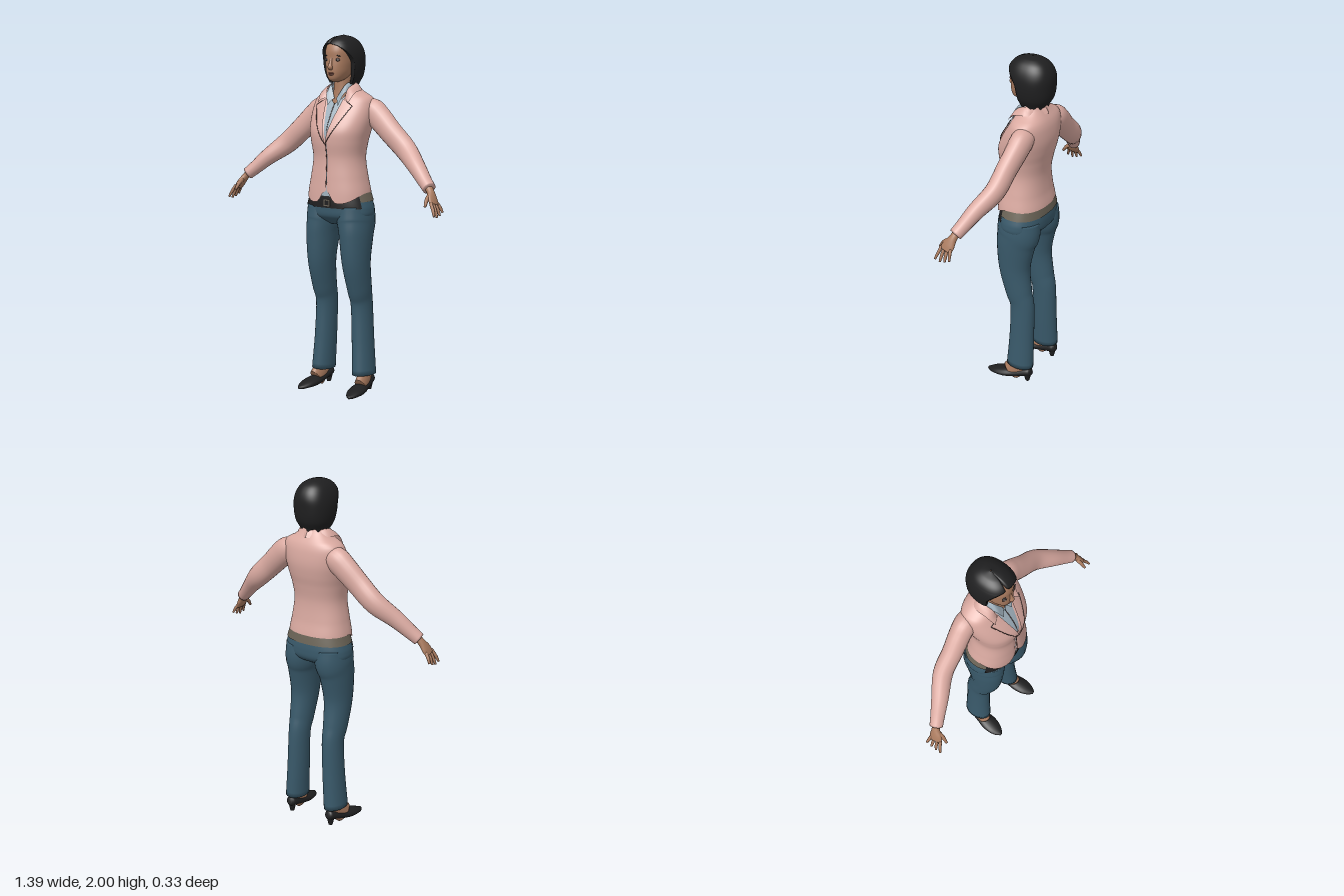
import * as THREE from 'three';

const mat = (name, color, side = THREE.FrontSide) => {
  const m = new THREE.MeshStandardMaterial({ color, side });
  m.name = name;
  return m;
};
const N = 2.3; // roundness of the horizontal cross-sections
const mix = THREE.MathUtils.lerp;
const smooth = THREE.MathUtils.smoothstep;

// Smooth interpolation of rows keyed by their first number
function sample(rows, k) {
  let i = 0;
  while (i < rows.length - 2 && k > rows[i + 1][0]) i++;
  const a = rows[i], b = rows[i + 1], p = rows[i - 1] || a, q = rows[i + 2] || b;
  const h = b[0] - a[0], t = THREE.MathUtils.clamp((k - a[0]) / h, 0, 1);
  return a.map((v, j) => {
    const m0 = (b[j] - p[j]) / (b[0] - p[0]) * h, m1 = (q[j] - v) / (q[0] - a[0]) * h;
    const t2 = t * t, t3 = t2 * t;
    return (2 * t3 - 3 * t2 + 1) * v + (t3 - 2 * t2 + t) * m0 + (3 * t2 - 2 * t3) * b[j] + (t3 - t2) * m1;
  });
}

// Surface from a grid of points; wrap closes it around
function grid(nu, nv, fn, wrap) {
  const pos = [], idx = [], cols = wrap ? nv : nv + 1;
  for (let i = 0; i <= nu; i++) for (let j = 0; j < cols; j++) pos.push(...fn(i / nu, j / nv, i, j));
  for (let i = 0; i < nu; i++) for (let j = 0; j < nv; j++) {
    const a = i * cols + j, b = i * cols + (j + 1) % cols;
    idx.push(a, b, b + cols, a, b + cols, a + cols);
  }
  const g = new THREE.BufferGeometry();
  g.setAttribute('position', new THREE.Float32BufferAttribute(pos, 3));
  g.setIndex(idx);
  g.computeVertexNormals();
  return g;
}

// Limb through rings [x, y, z, radiusU, radiusV], closed at both ends
function loft(rings, hint = [0, 0, 1], nu = 24, nv = 20) {
  const rows = rings.map((r, i) => [i, ...r]), last = rings.length - 1;
  const at = k => new THREE.Vector3(...sample(rows, k).slice(1, 4));
  return grid(nu + 2, nv, (s, t, i) => {
    const k = THREE.MathUtils.clamp((i - 1) / nu, 0, 1) * last;
    const r = sample(rows, k), cap = i === 0 || i === nu + 2 ? 0 : 1;
    const d = at(Math.min(last, k + 0.05)).sub(at(Math.max(0, k - 0.05))).normalize();
    const v = new THREE.Vector3(...hint).addScaledVector(d, -d.dot(new THREE.Vector3(...hint))).normalize();
    const u = v.clone().cross(d), a = t * Math.PI * 2;
    return at(k).addScaledVector(u, Math.cos(a) * r[4] * cap).addScaledVector(v, Math.sin(a) * r[5] * cap).toArray();
  }, true);
}

// Upright body from rows [y, halfWidth, zFront, zBack, zMiddle]; range limits the angle from the front
function shell(rows, { y0 = rows[0][0], y1 = rows.at(-1)[0], range, hem, grow = 0, rim = 1, nu = 40, nv = 48, ease = s => s } = {}) {
  return grid(nu, nv, (s, t, i, j) => {
    const e = ease(s), base = mix(y0, y1, e);
    const [a0, a1] = range ? range(base) : [0, Math.PI * 2];
    const a = mix(a0, a1, t), y = base + (hem ? hem(a) * (1 - e) ** 4 : 0);
    const [, hw, zf, zb, zc] = sample(rows, y);
    const k = range && (j === 0 || j === nv) ? rim : 1;
    const sn = Math.sin(a), cs = Math.cos(a), p = v => Math.sign(v) * Math.abs(v) ** (2 / N);
    return [p(sn) * (hw + grow) * k, y, zc + p(cs) * ((cs > 0 ? zf - zc : zc - zb) + grow) * k];
  }, !range);
}
const frontZ = (rows, x, y, off = 0) => {
  const [, hw, zf, , zc] = sample(rows, y);
  return zc + (zf - zc) * (1 - Math.min(1, Math.abs(x) / hw) ** N) ** (1 / N) + off;
};

const torso = [[1.07, .186, .142, -.142, 0], [1.14, .181, .14, -.138, 0], [1.22, .165, .135, -.125, 0], [1.33, .148, .13, -.12, 0],
  [1.42, .16, .142, -.135, 0], [1.48, .173, .14, -.15, -.01], [1.55, .184, .108, -.16, -.03], [1.62, .184, .066, -.155, -.05],
  [1.66, .168, .042, -.143, -.055], [1.69, .115, .026, -.125, -.055], [1.72, .078, .012, -.106, -.05], [1.735, .07, .005, -.1, -.05]];
const hips = [[.96, .09, .06, -.07, -.01], [.985, .165, .095, -.115, -.01], [1.01, .197, .116, -.136, -.01],
  [1.05, .2, .121, -.141, -.01], [1.09, .189, .121, -.138, -.01], [1.15, .168, .116, -.128, -.01]];
const head = [[1.745, .012, .06, .02, .04], [1.758, .038, .08, -.01, .02], [1.79, .06, .088, -.06, 0], [1.83, .07, .089, -.09, -.01],
  [1.87, .076, .086, -.11, -.02], [1.92, .076, .084, -.12, -.02], [1.96, .06, .06, -.1, -.025], [1.985, .012, 0, -.04, -.025]];
const hairRows = [[1.735, .078, .035, -.125, -.04], [1.78, .1, .06, -.15, -.04], [1.85, .11, .085, -.16, -.04], [1.91, .104, .1, -.158, -.035],
  [1.96, .08, .075, -.132, -.035], [1.988, .045, .03, -.09, -.035], [2, .003, -.032, -.038, -.035]];
const neckRows = [[1.6, .062, .04, -.09, -.035], [1.68, .052, .024, -.085, -.035], [1.74, .047, .02, -.08, -.035], [1.8, .047, .02, -.08, -.035]];

export function createModel() {
  const D = THREE.DoubleSide;
  const pink = mat('jacket pink', 0xdaaaa1, D), teal = mat('trouser teal', 0x39596a), black = mat('hair and leather black', 0x1f1f20, D);
  const skin = mat('skin', 0xaa7b5f), blue = mat('shirt blue', 0x9fb0bc, D), olive = mat('waistband olive', 0x6a6356, D);
  const dark = mat('seam brown', 0x55403d), lip = mat('lip', 0x8a5547), white = mat('eye white', 0xc9c4bd);
  const model = new THREE.Group();
  const add = (name, geo, m, parent = model) => {
    const mesh = new THREE.Mesh(geo, m);
    mesh.name = name;
    parent.add(mesh);
    return mesh;
  };
  const blob = (name, m, [x, y, z], [a, b, c], tilt = 0) => {
    const b0 = add(name, new THREE.SphereGeometry(1, 14, 10), m);
    b0.position.set(x, y, z);
    b0.scale.set(a, b, c);
    b0.rotation.z = tilt;
  };
  const line = (name, pts) => add(name, new THREE.TubeGeometry(new THREE.CatmullRomCurve3(pts.map(p => new THREE.Vector3(...p))), 24, .002, 5), dark);
  const TAU = Math.PI * 2;

  // Jacket body with a V opening and rounded front corners
  const vee = y => THREE.MathUtils.clamp((y - 1.41) / .29, 0, 1) * .066;
  const opening = y => Math.asin(Math.min(.95, (vee(y) / sample(torso, y)[1]) ** (N / 2)));
  add('jacket', shell(torso, {
    y0: 1.085, nu: 56, nv: 72, rim: .95,
    range: y => [opening(y) + .004, TAU - opening(y) - .004],
    hem: a => {
      const b = Math.min(a, TAU - a);
      return .07 * Math.exp(-((b / .16) ** 2)) + .055 * smooth(b, .4, 1.6);
    },
  }), pink);
  line('jacketFrontSeam', [1.17, 1.25, 1.33, 1.41].map(y => [.002, y, frontZ(torso, 0, y, .001)]));

  // Shirt and neck
  add('shirt', shell(torso, {
    y0: 1.12, y1: 1.7, grow: -.009,
    range: y => { const a = smooth(y, 1.62, 1.7) * .45 + .001; return [a, TAU - a]; },
  }), blue);
  add('neck', shell(neckRows), skin);
  line('shirtPlacket', [1.43, 1.5, 1.57, 1.63].map(y => [0, y, frontZ(torso, 0, y, -.008)]));

  // Trousers, belt and waistband
  add('trouserHips', shell(hips), teal);
  add('belt', shell(hips, { y0: 1.056, y1: 1.125, grow: .004, range: () => [-1.12, 1.12], nu: 4 }), black);
  add('waistband', shell(hips, { y0: 1.092, y1: 1.15, grow: .005, range: () => [1.12, TAU - 1.12], nu: 4 }), olive);
  add('buckle', new THREE.BoxGeometry(.04, .036, .008), olive).position.set(0, 1.084, .125);
  add('buckleCentre', new THREE.BoxGeometry(.028, .024, .009), black).position.set(0, 1.084, .126);

  // Head and hair
  const dome = s => Math.sin(s * Math.PI / 2);
  add('head', shell(head, { ease: s => .5 - .5 * Math.cos(s * Math.PI) }), skin);
  add('hair', shell(hairRows, {
    nu: 60, nv: 64, ease: dome, rim: .78,
    range: y => {
      const k = THREE.MathUtils.clamp((y - 1.85) / .1, 0, 1), a = 1.12 * Math.sqrt(1 - k * k) + .001;
      return [a - .2 * k, TAU - a - .2 * k];
    },
    hem: a => .007 * Math.sin(a * 9) + .004 * Math.sin(a * 17),
  }), black);
  add('nose', loft([[0, 1.88, .08, .006, .005], [0, 1.845, .091, .009, .009], [0, 1.826, .095, .014, .012], [0, 1.814, .086, .011, .007]]), skin);
  blob('upperLip', lip, [0, 1.793, .087], [.021, .004, .006]);
  blob('lowerLip', lip, [0, 1.786, .086], [.017, .005, .006]);

  for (const s of [1, -1]) {
    // Face details
    const face = (x, y, off) => [x * s, y, frontZ(head, x, y, off)];
    blob('eyelid', dark, face(.034, 1.866, -.003), [.018, .009, .006]);
    blob('eyeWhite', white, face(.034, 1.864, -.001), [.013, .005, .006]);
    blob('iris', black, face(.034, 1.864, .001), [.0055, .0055, .005]);
    blob('eyebrow', black, face(.036, 1.888, -.002), [.019, .0028, .005], -.12 * s);

    // Lapel folded onto the chest, with its edge line
    const edge = [[0, .002, 1.41], [.5, .064, 1.51], [1, .118, 1.618]];
    const lapel = (u, v) => {
      const [, ox, oy] = sample(edge, u), iy = mix(1.41, 1.655, u);
      const x = mix(vee(iy), ox, v), y = mix(iy, oy, v);
      return [x * s, y, frontZ(torso, x, y, .007)];
    };
    add('lapel', grid(20, 8, lapel), pink);
    line('lapelEdge', [0, .25, .5, .75, 1].map(u => lapel(u, 1)));
    line('lapelNotch', [1, .7, .4].map(v => lapel(1, v)));

    // Collars wrapping to the back of the neck, from inner and outer edges
    const collar = (name, inner, outer, m) => {
      const a = inner.map((p, i) => [i, ...p]), b = outer.map((p, i) => [i, ...p]);
      add(name, grid(18, 4, (u, v) => {
        const p = sample(a, u * 3), q = sample(b, u * 3), bulge = .006 * Math.sin(v * Math.PI);
        return [mix(p[1], q[1], v) * s, mix(p[2], q[2], v) + bulge, mix(p[3], q[3], v)];
      }), m);
    };
    collar('shirtCollar', [[.006, 1.655, .045], [.045, 1.73, .012], [.054, 1.745, -.045], [0, 1.742, -.09]],
      [[.034, 1.615, .072], [.06, 1.685, .042], [.07, 1.705, -.04], [0, 1.7, -.11]], blue);
    collar('jacketCollar', [[.06, 1.655, .045], [.068, 1.71, .02], [.072, 1.74, -.05], [0, 1.738, -.1]],
      [[.1, 1.632, .07], [.112, 1.685, .02], [.105, 1.7, -.065], [0, 1.69, -.136]], pink);

    // Sleeve, cuff line and hand
    const X = rings => rings.map(([x, ...r]) => [x * s, ...r]);
    add('sleeve', loft(X([[.11, 1.6, -.075, .045, .05], [.165, 1.587, -.073, .07, .06], [.22, 1.545, -.07, .07, .058], [.3, 1.472, -.06, .065, .054],
      [.4, 1.385, -.05, .061, .052], [.5, 1.303, .002, .048, .046], [.57, 1.238, .037, .039, .039], [.613, 1.2, .058, .035, .036]]), undefined, 40), pink);
    add('palm', loft(X([[.6, 1.212, .054, .02, .022], [.625, 1.183, .064, .019, .023], [.645, 1.15, .078, .017, .036], [.662, 1.12, .088, .012, .037]])), skin);
    for (let i = 0; i < 4; i++) {
      const z = .116 - i * .019, spread = .022 - i * .011, len = [.058, .066, .06, .046][i];
      add('finger', loft(X([[.656, 1.135, z, .009, .009], [.677, 1.128 - len * .5, z + spread * .5, .009, .009],
        [.69, 1.125 - len, z + spread, .006, .006]]), undefined, 8, 8), skin);
    }
    add('thumb', loft(X([[.63, 1.17, .085, .012, .012], [.632, 1.148, .117, .011, .011], [.637, 1.115, .142, .007, .007]]), [1, 0, 0], 10, 8), skin);

    // Trouser leg
    add('trouserLeg', loft(X([[.1, 1.06, -.01, .094, .122], [.103, .98, -.009, .098, .127], [.112, .9, .004, .087, .115], [.117, .75, .01, .074, .095],
      [.12, .6, -.018, .064, .081], [.12, .5, -.042, .057, .073], [.128, .3, -.043, .058, .075], [.14, .1, -.038, .06, .083]]), undefined, 48, 28), teal);

    // Foot and heeled shoe, toes turned slightly out
    const foot = new THREE.Group();
    foot.name = 'foot';
    foot.position.x = .152 * s;
    foot.rotation.y = .12 * s;
    model.add(foot);
    add('ankle', loft([[0, .16, -.05, .033, .04], [0, .1, -.045, .031, .042], [0, .068, -.015, .033, .06], [0, .04, .015, .034, .06]]), skin, foot);
    add('shoe', loft([[0, .07, -.116, .014, .018], [0, .065, -.1, .03, .028], [0, .05, -.05, .036, .026], [0, .036, 0, .041, .026],
      [0, .027, .05, .048, .026], [0, .021, .1, .044, .02], [0, .014, .14, .028, .013], [0, .011, .164, .008, .007]], [0, 1, 0], 32), black, foot);
    const heel = add('heel', new THREE.CylinderGeometry(.026, .012, .06, 14), black, foot);
    heel.position.set(0, .03, -.09);
  }
  return model;
}
